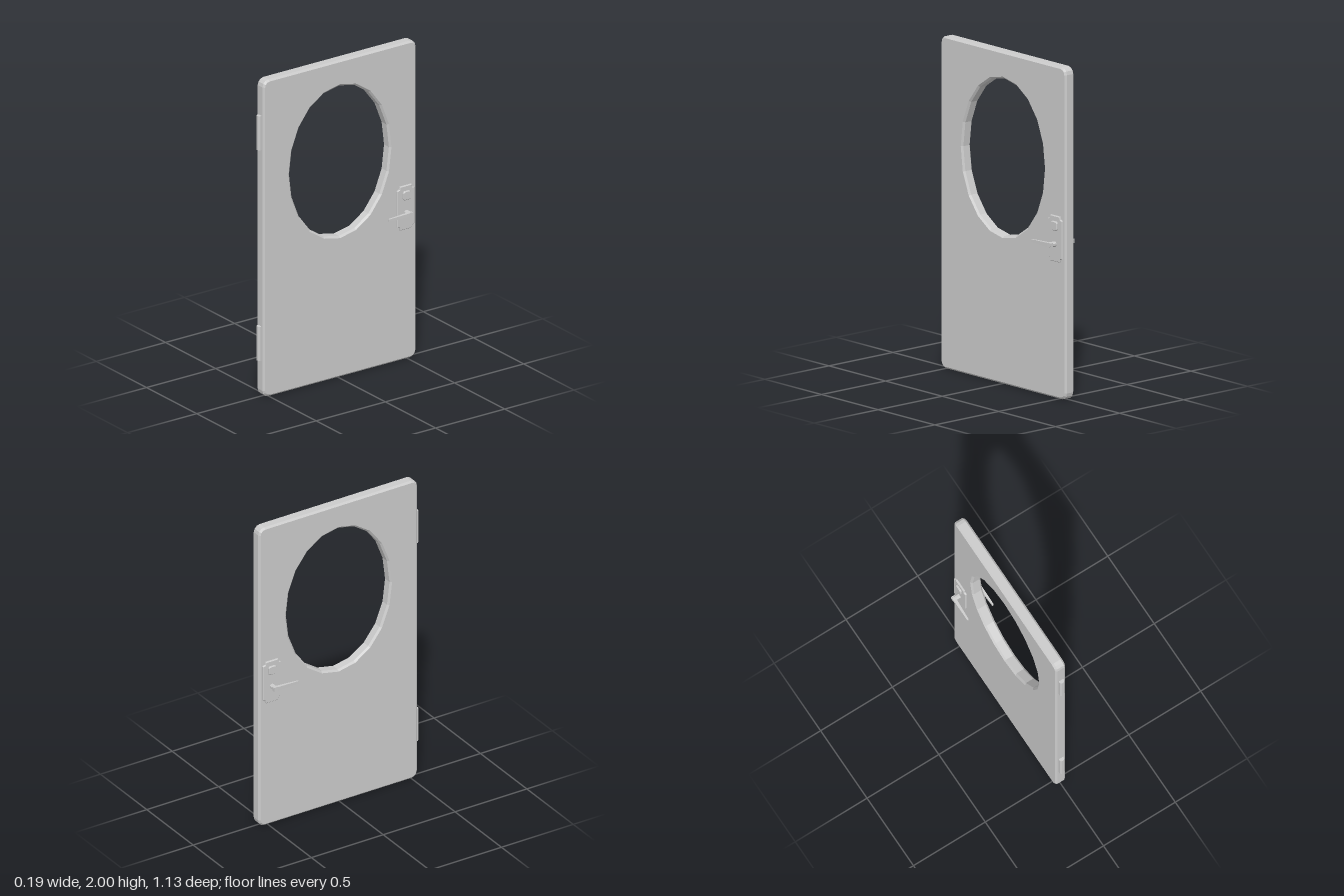
import * as THREE from 'three';

const material = new THREE.MeshStandardMaterial({ color: 0xcccccc, flatShading: true });

function add(parent, name, geometry) {
  const mesh = new THREE.Mesh(geometry, material);
  mesh.name = name;
  parent.add(mesh);
  return mesh;
}

const ellipse = (cx, cy, rx, ry, n) => Array.from({ length: n }, (_, i) => {
  const a = (i / n) * Math.PI * 2;
  return new THREE.Vector2(cx + rx * Math.cos(a), cy + ry * Math.sin(a));
});

// Rectangle whose corner is a list of [dx, dy] insets, running from the side edge to the top edge
function cornered(cx, cy, hw, hh, insets) {
  const pts = [];
  for (const [sx, sy] of [[1, 1], [-1, 1], [-1, -1], [1, -1]]) {
    const run = sx * sy > 0 ? insets : [...insets].reverse();
    for (const [dx, dy] of run) pts.push(new THREE.Vector2(cx + sx * (hw - dx), cy + sy * (hh - dy)));
  }
  return pts;
}

const roundInsets = (r, n) => Array.from({ length: n + 1 }, (_, i) => {
  const a = (i / n) * Math.PI / 2;
  return [r * (1 - Math.cos(a)), r * (1 - Math.sin(a))];
});

// Chamfered slab across x; outline is drawn in (-z, y)
function slab(outline, x0, x1, bevel, hole) {
  const shape = new THREE.Shape(outline);
  if (hole) shape.holes.push(new THREE.Path(hole));
  const geometry = new THREE.ExtrudeGeometry(shape, {
    depth: x1 - x0 - 2 * bevel,
    bevelSize: bevel, bevelThickness: bevel, bevelOffset: -bevel, bevelSegments: 1,
  });
  return geometry.translate(0, 0, x0 + bevel).rotateY(Math.PI / 2);
}

// Lever: a box along z, thinning toward its free end with a straight outer face
function leverGeometry(side) {
  const length = 0.172;
  const g = new THREE.BoxGeometry(0.022, 0.026, length);
  const p = g.attributes.position;
  for (let i = 0; i < p.count; i++) {
    const t = p.getZ(i) / length + 0.5;
    p.setY(i, p.getY(i) * (1 - 0.4 * t));
    const inner = p.getX(i) * side < 0;
    p.setX(i, p.getX(i) + side * t * (inner ? 0.01 : -0.002));
  }
  return g.translate(side * 0.083, 0.931, -0.41);
}

export function createModel() {
  const door = new THREE.Group();
  door.name = 'door';

  // Leaf with an oval window opening
  add(door, 'leaf', slab(
    cornered(0.0105, 1, 0.5525, 1, roundInsets(0.042, 3)), -0.035, 0.035, 0.011,
    ellipse(0.01, 1.364, 0.361, 0.475, 20)));

  // Hinge barrels
  for (const [name, y] of [['lowerHinge', 0.338], ['upperHinge', 1.668]]) {
    const barrel = new THREE.CylinderGeometry(0.017, 0.017, 0.216, 8);
    add(door, name, barrel.rotateY(Math.PI / 8).translate(0, y, 0.547));
  }

  // Lock plate, lock and handle on each face
  const notch = [[0, 0.024], [0.016, 0.018], [0.02, 0]];
  for (const side of [1, -1]) {
    const set = new THREE.Group();
    set.name = side > 0 ? 'leftHandleSet' : 'rightHandleSet';
    door.add(set);
    const between = (a, b) => (side > 0 ? [a, b] : [-b, -a]);
    add(set, 'plate', slab(cornered(0.48, 0.963, 0.062, 0.138, notch), ...between(0.025, 0.046), 0.004));
    add(set, 'lock', slab(cornered(0.481, 1.041, 0.027, 0.028, roundInsets(0.012, 2)), ...between(0.036, 0.057), 0.004));

    const spindle = new THREE.CylinderGeometry(0.0165, 0.0165, 0.053, 8).rotateY(Math.PI / 8);
    add(set, 'spindle', spindle.rotateZ(Math.PI / 2).translate(side * 0.0675, 0.931, -0.481));
    add(set, 'lever', leverGeometry(side));
  }
  return door;
}
